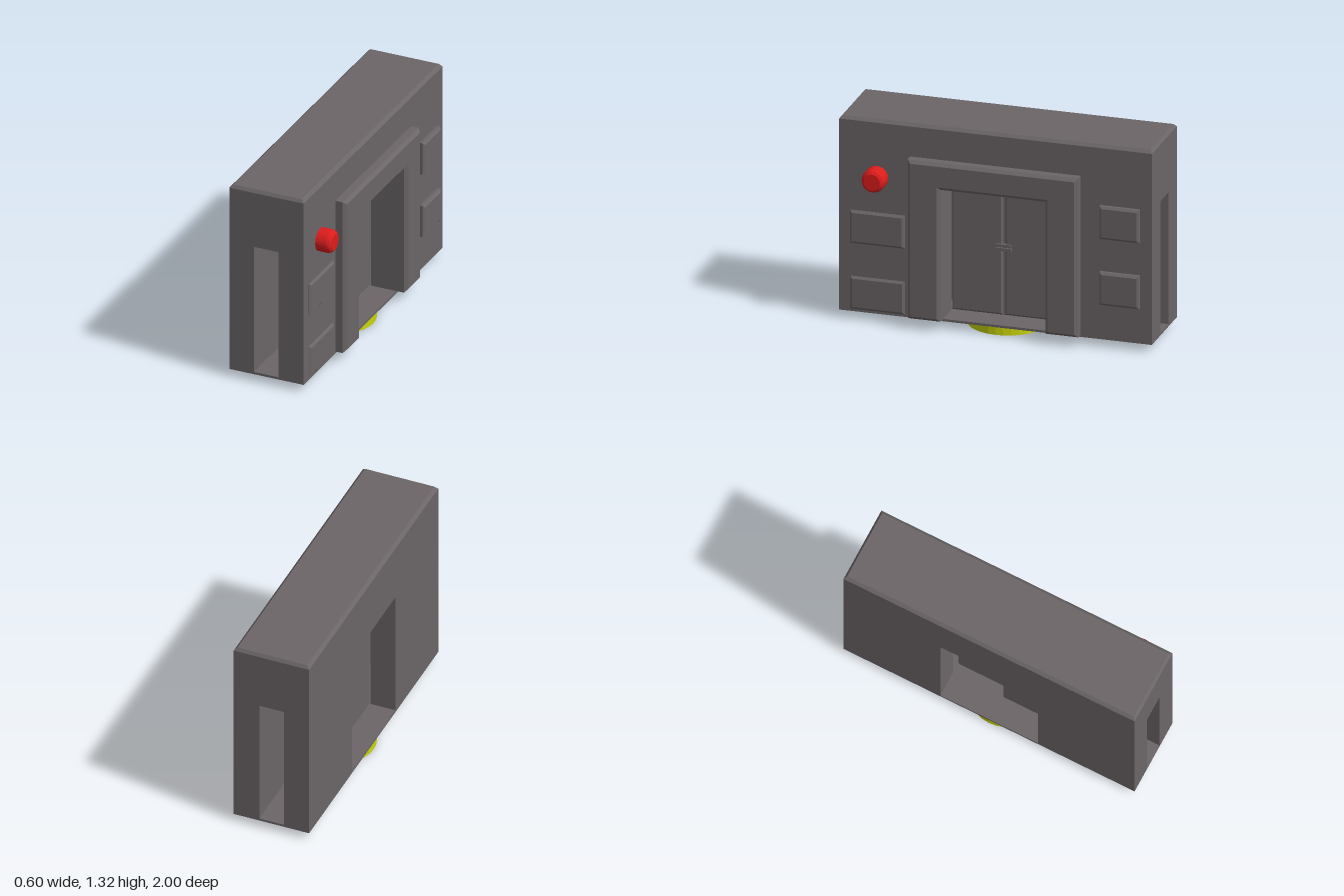
import * as THREE from 'three';

const paint = (color) => new THREE.MeshStandardMaterial({ color, flatShading: true });

export function createModel() {
  const model = new THREE.Group();
  const grey = paint(0x6b6567), red = paint(0xdd1c1c), yellow = paint(0xc8d40a);

  function add(name, geometry, material = grey) {
    const mesh = new THREE.Mesh(geometry, material);
    mesh.name = name;
    model.add(mesh);
    return mesh;
  }

  // Box given by its limits on each axis
  function block(name, x0, x1, y0, y1, z0, z1) {
    add(name, new THREE.BoxGeometry(x1 - x0, y1 - y0, z1 - z0))
      .position.set((x0 + x1) / 2, (y0 + y1) / 2, (z0 + z1) / 2);
  }

  const rect = (z0, z1, y0, y1) => [[-z1, y0], [-z0, y0], [-z0, y1], [-z1, y1]]
    .map(([a, b]) => new THREE.Vector2(a, b));

  // Outline in the z-y plane pushed along x, with optional chamfers inside the limits
  function slab(name, shape, x0, x1, bevel = 0, bevelDepth = bevel) {
    const geometry = new THREE.ExtrudeGeometry(shape, {
      depth: x1 - x0 - 2 * bevelDepth, bevelEnabled: bevel > 0, bevelSize: bevel,
      bevelThickness: bevelDepth, bevelOffset: -bevel, bevelSegments: 1,
    });
    geometry.translate(0, 0, x0 + bevelDepth).rotateY(Math.PI / 2);
    add(name, geometry);
  }

  // Long walls with the doorway cut through
  for (const [name, x0, x1] of [['backWall', -0.3, -0.135], ['frontWall', 0.03, 0.2]]) {
    const wall = new THREE.Shape(rect(-1, 1, 0.05, 1.295));
    wall.holes.push(new THREE.Path(rect(-0.335, 0.335, 0.065, 0.925)));
    slab(name, wall, x0, x1);
  }

  // Core above and below the sliding-door slot, open at both ends
  block('core', -0.135, 0.03, 0.925, 1.295, -1, 1);
  block('slotFloor', -0.135, 0.03, 0.05, 0.065, -1, 1);

  // Chamfered roof
  const roof = new THREE.BoxGeometry(0.5, 0.02, 2);
  const p = roof.attributes.position;
  for (let i = 0; i < p.count; i++) {
    if (p.getY(i) > 0) {
      p.setX(i, p.getX(i) - Math.sign(p.getX(i)) * 0.02);
      p.setZ(i, p.getZ(i) - Math.sign(p.getZ(i)) * 0.015);
    }
  }
  add('roof', roof).position.set(-0.05, 1.305, 0);

  // Raised door surround
  const surround = new THREE.Shape([
    [-0.545, 0.065], [-0.335, 0.065], [-0.335, 0.925], [0.335, 0.925],
    [0.335, 0.065], [0.545, 0.065], [0.545, 1.1], [-0.545, 1.1],
  ].map(([a, b]) => new THREE.Vector2(a, b)));
  slab('doorSurround', surround, 0.17, 0.27, 0.02);

  // Two door leaves, centre seal and latch
  slab('leftDoor', new THREE.Shape(rect(0.005, 0.335, 0.065, 0.925)), -0.135, 0.03, 0.013);
  slab('rightDoor', new THREE.Shape(rect(-0.335, -0.005, 0.065, 0.925)), -0.07, 0.03, 0.013);
  block('doorSeal', -0.06, 0.018, 0.065, 0.925, -0.008, 0.008);
  block('latchPlate', 0.02, 0.05, 0.49, 0.51, -0.05, 0.05);
  block('latchBar', 0.02, 0.04, 0.51, 0.53, -0.05, 0.05);

  // Chamfered wall panels
  for (const [z0, z1, y0, y1, x1] of [
    [0.58, 0.93, 0.495, 0.71, 0.215], [0.58, 0.93, 0.065, 0.28, 0.212],
    [-0.925, -0.67, 0.71, 0.925, 0.23], [-0.925, -0.67, 0.28, 0.495, 0.23],
  ]) slab('wallPanel', new THREE.Shape(rect(z0, z1, y0, y1)), 0.16, x1, 0.015, 0.012);

  const lathe = (points, sides) => new THREE.LatheGeometry(
    points.map(([r, y]) => new THREE.Vector2(r, y)), sides);

  // Warning lamp
  const lamp = add('warningLamp', lathe(
    [[0.074, 0], [0.074, 0.07], [0.068, 0.088], [0.052, 0.1], [0, 0.1]], 24), red);
  lamp.rotation.z = -Math.PI / 2;
  lamp.position.set(0.2, 0.94, 0.76);

  // Base disc with a recessed underside
  add('baseDisc', lathe(
    [[0, 0.012], [0.228, 0.012], [0.235, 0], [0.25, 0], [0.25, 0.05], [0, 0.05]], 32), yellow)
    .position.x = -0.05;

  return model;
}
